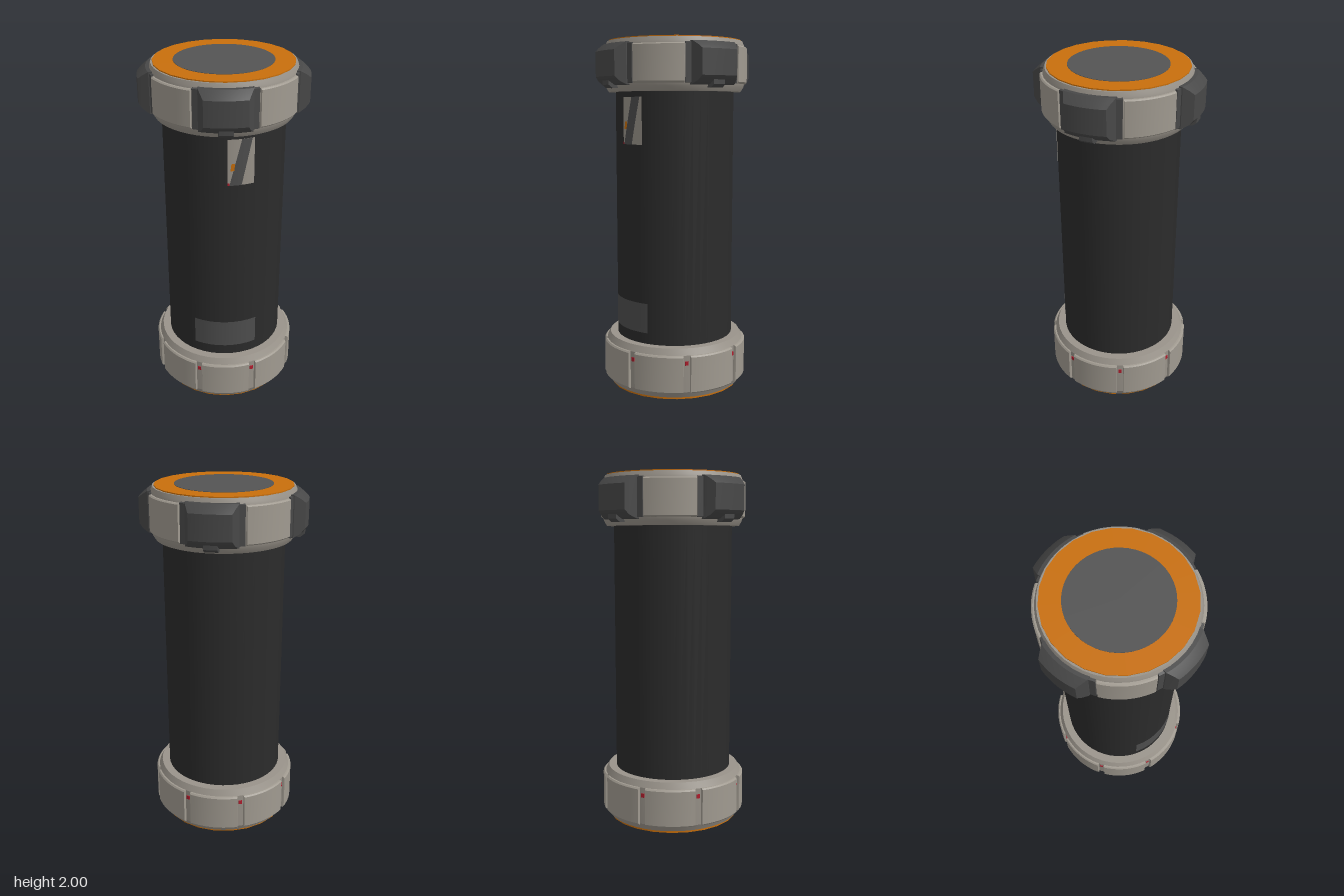
import * as THREE from 'three';
import { toCreasedNormals } from 'three/addons/utils/BufferGeometryUtils.js';

const mat = (name, color, side = THREE.FrontSide) => {
  const m = new THREE.MeshStandardMaterial({ color, side });
  m.name = name;
  return m;
};

export function createModel() {
  const M = {
    body: mat('charcoal', 0x2b2b2b),
    ring: mat('warm grey', 0x99938a),
    panel: mat('light warm grey', 0xa09a90),
    clamp: mat('dark grey', 0x484848),
    disc: mat('mid grey', 0x545454),
    orange: mat('orange', 0xc86f0c),
    label: mat('label grey', 0x4e4e4e, THREE.DoubleSide),
    paper: mat('label light', 0x99938a, THREE.DoubleSide),
    red: mat('red', 0xb01c2c, THREE.DoubleSide),
  };
  const model = new THREE.Group();
  model.name = 'canister';

  const add = (parent, name, geometry, material) => {
    const mesh = new THREE.Mesh(geometry, material);
    mesh.name = name;
    parent.add(mesh);
    return mesh;
  };
  const lathe = (points, sides) => toCreasedNormals(
    new THREE.LatheGeometry(points.map(([r, y]) => new THREE.Vector2(r, y)), sides), 0.45);

  // Box bent round the y axis; each layer is [radius, half angle, bottom, top], inner to outer
  const bentBox = (layers, cuts = 10) => {
    const g = new THREE.BoxGeometry(1, 1, 1, cuts, 1, layers.length - 1);
    const p = g.attributes.position;
    for (let i = 0; i < p.count; i++) {
      const [r, half, y0, y1] = layers[Math.round((p.getZ(i) + 0.5) * (layers.length - 1))];
      const a = p.getX(i) * 2 * half;
      p.setXYZ(i, r * Math.sin(a), p.getY(i) > 0 ? y1 : y0, r * Math.cos(a));
    }
    return toCreasedNormals(g, 0.4);
  };

  // Thin sheet wrapped on the body; left and right edges are given at the bottom and the top
  const sheet = (r, y0, y1, bottom, top) => {
    const g = new THREE.PlaneGeometry(1, 1, 8, 6);
    const p = g.attributes.position;
    for (let i = 0; i < p.count; i++) {
      const u = p.getX(i) + 0.5, v = p.getY(i) + 0.5;
      const x = THREE.MathUtils.lerp(
        THREE.MathUtils.lerp(bottom[0], bottom[1], u),
        THREE.MathUtils.lerp(top[0], top[1], u), v);
      p.setXYZ(i, x, y0 + (y1 - y0) * v, Math.sqrt(r * r - x * x));
    }
    g.computeVertexNormals();
    return g;
  };

  // Main tube
  add(model, 'body', new THREE.CylinderGeometry(0.34, 0.34, 1.46, 48, 1, true), M.body).position.y = 1;

  // End collars
  add(model, 'topCollar', lathe([
    [0.33, 1.71], [0.38, 1.71], [0.395, 1.735], [0.402, 1.76], [0.402, 1.95],
    [0.396, 1.972], [0.388, 1.992], [0.37, 1.992],
  ], 48), M.ring);
  add(model, 'bottomCollar', lathe([
    [0.36, 0.012], [0.388, 0.015], [0.4, 0.04], [0.405, 0.05], [0.405, 0.262],
    [0.398, 0.275], [0.386, 0.298], [0.33, 0.298],
  ], 48), M.ring);

  // Orange end plates with grey centre discs
  for (const [name, y, discY] of [['top', 1.988, 1.9955], ['bottom', 0.011, 0.0045]]) {
    add(model, name + 'EndPlate', new THREE.CylinderGeometry(0.38, 0.38, 0.02, 24), M.orange).position.y = y;
    add(model, name + 'Disc', new THREE.CylinderGeometry(0.27, 0.27, 0.009, 48), M.disc).position.y = discY;
  }

  // Four clamps round the top, with light panels between them
  for (let i = 0; i < 4; i++) {
    const clamp = new THREE.Group();
    clamp.name = 'clamp';
    clamp.rotation.y = i * Math.PI / 2;
    model.add(clamp);
    add(clamp, 'clampBase', bentBox([
      [0.39, 0.425, 1.75, 1.968], [0.41, 0.42, 1.753, 1.962],
    ]), M.clamp);
    add(clamp, 'clampBlock', bentBox([
      [0.39, 0.36, 1.742, 1.972], [0.415, 0.34, 1.745, 1.97],
      [0.444, 0.28, 1.765, 1.947], [0.463, 0.245, 1.79, 1.928],
    ]), M.clamp);
    add(clamp, 'clampTab', bentBox([
      [0.39, 0.1, 1.728, 1.78], [0.425, 0.09, 1.728, 1.78], [0.447, 0.08, 1.745, 1.78],
    ], 4), M.clamp);
    const panel = add(model, 'topPanel', bentBox([
      [0.39, 0.35, 1.75, 1.96], [0.408, 0.35, 1.755, 1.958], [0.415, 0.345, 1.762, 1.952],
    ]), M.panel);
    panel.rotation.y = (i + 0.5) * Math.PI / 2;
  }

  // Eight grip panels round the bottom, with a red mark in each gap
  for (let i = 0; i < 8; i++) {
    const panel = add(model, 'bottomPanel', bentBox([
      [0.39, 0.347, 0.042, 0.264], [0.413, 0.347, 0.046, 0.262], [0.42, 0.34, 0.054, 0.254],
    ]), M.panel);
    panel.rotation.y = i * Math.PI / 4;
    const mark = add(model, 'redMark', bentBox([
      [0.402, 0.024, 0.206, 0.229], [0.409, 0.024, 0.206, 0.229],
    ], 1), M.red);
    mark.rotation.y = (i + 0.5) * Math.PI / 4;
  }

  // Labels on the front of the tube
  add(model, 'lowerLabel', sheet(0.342, 0.36, 0.53, [-0.178, 0.178], [-0.178, 0.178]), M.label);
  add(model, 'upperLabel', sheet(0.342, 1.42, 1.68, [0.01, 0.152], [0.01, 0.152]), M.paper);
  add(model, 'labelStripe', sheet(0.3435, 1.42, 1.68, [0.02, 0.085], [0.085, 0.14]), M.label);
  add(model, 'labelOrangeMark', sheet(0.345, 1.505, 1.545, [0.025, 0.045], [0.03, 0.05]), M.orange);
  add(model, 'labelRedMark', sheet(0.345, 1.42, 1.435, [0.01, 0.02], [0.01, 0.02]), M.red);

  return model;
}
